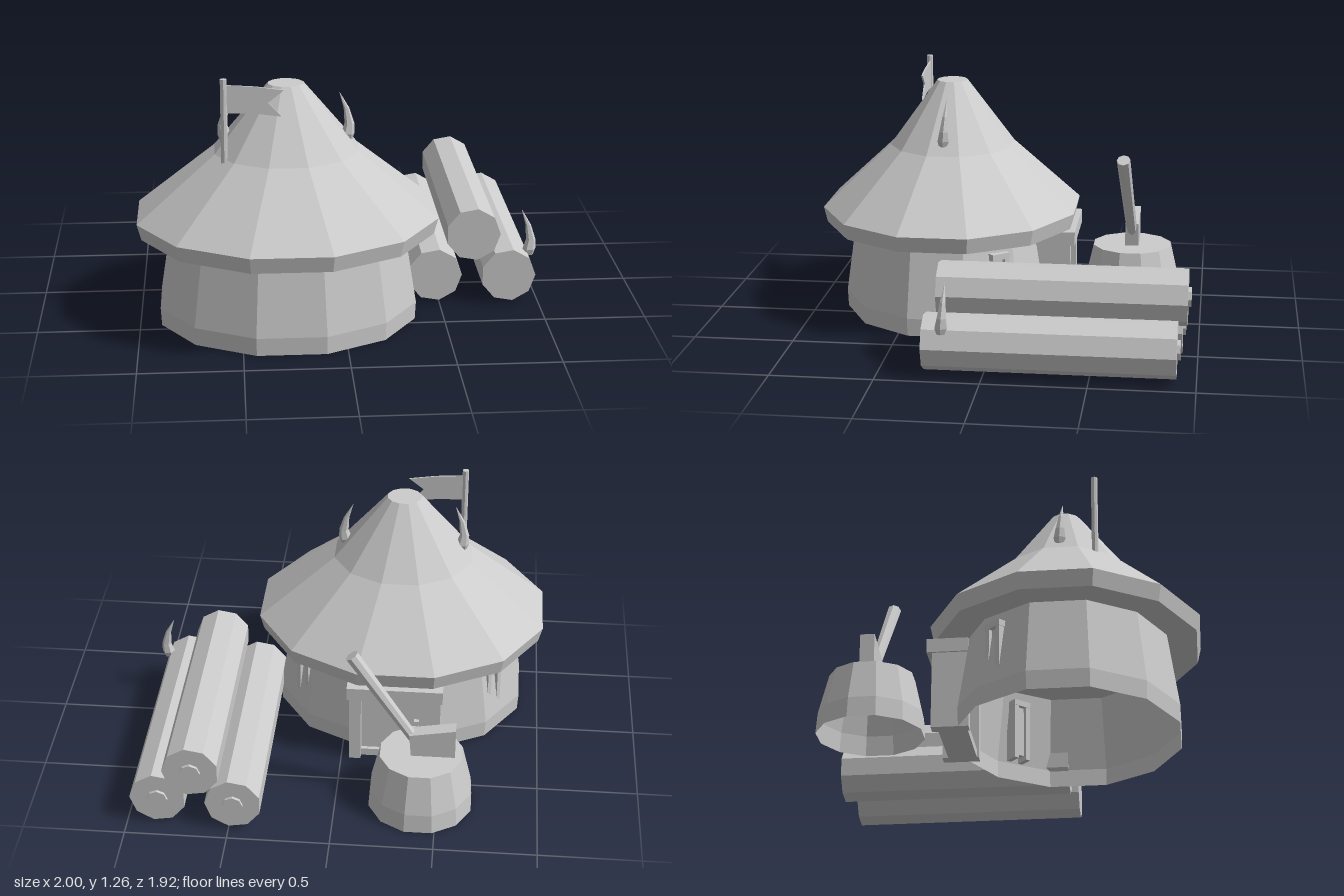
import * as THREE from 'three';

export function createModel() {
  const group = new THREE.Group();
  const grey = new THREE.MeshStandardMaterial({ color: 0xcccccc, flatShading: true, side: THREE.DoubleSide });
  grey.name = 'light grey';

  const add = (name, geometry, x = 0, y = 0, z = 0, parent = group) => {
    const mesh = new THREE.Mesh(geometry, grey);
    mesh.name = name;
    mesh.position.set(x, y, z);
    parent.add(mesh);
    return mesh;
  };
  const box = (name, w, h, d, x, y, z, parent) => add(name, new THREE.BoxGeometry(w, h, d), x, y, z, parent);
  // Twelve-sided turned shape with a flat side facing each axis
  const turned = (profile, depthScale) => new THREE.LatheGeometry(
    profile.map(([r, y]) => new THREE.Vector2(r, y)), 12, Math.PI / 12).scale(1, 1, depthScale);
  // Straight round bar between two points
  const bar = (name, a, b, r0, r1, sides) => {
    const from = new THREE.Vector3(...a), dir = new THREE.Vector3(...b).sub(from);
    const mesh = add(name, new THREE.CylinderGeometry(r1, r0, dir.length(), sides));
    mesh.position.copy(from).addScaledVector(dir, 0.5);
    mesh.quaternion.setFromUnitVectors(new THREE.Vector3(0, 1, 0), dir.normalize());
    return mesh;
  };

  // Hut, slightly shallower than wide; the wall is open underneath
  const hx = -0.27, hz = 0.305;
  add('wall', turned([[0.647, 0], [0.652, 0.09], [0.59, 0.47]], 0.856), hx, 0, hz);
  add('roof', turned([[0, 0.46], [0.735, 0.46], [0.756, 0.54], [0.362, 0.86], [0.088, 1.19], [0, 1.19]], 0.89), hx, 0, hz);

  // Doorway at the back
  const door = new THREE.Group();
  door.name = 'doorway';
  door.position.set(hx, 0, 0);
  group.add(door);
  box('lintel', 0.48, 0.07, 0.2, 0, 0.42, -0.255, door);
  for (const s of [-1, 1]) box('doorPost', 0.06, 0.4, 0.18, s * 0.2, 0.2, -0.24, door);
  box('threshold', 0.4, 0.04, 0.14, 0, 0.02, -0.23, door);
  box('doorPanel', 0.36, 0.38, 0.03, 0, 0.2, -0.265, door);
  box('doorHandle', 0.025, 0.06, 0.025, -0.11, 0.2, -0.29, door);

  // Narrow window frames on the rear sides of the wall
  for (const s of [-1, 1]) {
    const frame = new THREE.Group();
    frame.name = 'windowFrame';
    frame.position.set(hx + s * 0.47, 0.24, 0.015);
    frame.rotation.set(0, s * 2.3, 0);
    for (const t of [-1, 1]) box('windowJamb', 0.025, 0.3, 0.07, t * 0.035, 0, 0, frame);
    box('windowPane', 0.06, 0.27, 0.03, 0, 0.01, 0, frame);
    box('windowHead', 0.1, 0.03, 0.075, 0, 0.15, 0, frame);
    group.add(frame);
  }

  // Flag on a pole through the roof
  bar('flagPole', [-0.575, 0.18, 0.465], [-0.57, 1.26, 0.47], 0.016, 0.016, 8);
  const flag = new THREE.Shape([[-0.57, 1.09], [-0.44, 1.09], [-0.295, 1.07], [-0.36, 1.14], [-0.285, 1.2],
    [-0.42, 1.22], [-0.57, 1.23]].map(p => new THREE.Vector2(...p)));
  add('flag', new THREE.ExtrudeGeometry(flag, { depth: 0.008, bevelEnabled: false }), 0, 0, 0.463);

  // Curved horn made of six-sided rings
  const hornGeometry = () => {
    const rings = [[0, 0, 0.022], [0, 0.03, 0.033], [0.008, 0.08, 0.024], [-0.006, 0.155, 0.014], [-0.04, 0.235, 0.001]];
    const pos = [], index = [], n = 6;
    rings.forEach(([x, y, r], i) => {
      for (let j = 0; j < n; j++) {
        const a = j / n * Math.PI * 2;
        pos.push(x + r * Math.cos(a), y, -0.015 * y / 0.235 + r * Math.sin(a));
        if (i) {
          const k = (i - 1) * n, m = (j + 1) % n;
          index.push(k + j, k + n + j, k + m, k + m, k + n + j, k + n + m);
        }
      }
    });
    for (let j = 1; j < n - 1; j++) index.push(0, j, j + 1);
    const g = new THREE.BufferGeometry();
    g.setAttribute('position', new THREE.Float32BufferAttribute(pos, 3));
    g.setIndex(index);
    g.computeVertexNormals();
    return g;
  };
  add('roofHornLeft', hornGeometry(), 0.03, 0.9, 0.31);
  add('roofHornRight', hornGeometry().rotateY(Math.PI), -0.57, 0.9, 0.295);
  add('logHorn', hornGeometry(), 0.962, 0.225, 0.185);

  // Pile of three nine-sided logs with a raised core on the rear end
  for (const [x, y, front, back] of [[0.475, 0.15, 0.255, -0.925], [0.67, 0.355, 0.235, -0.95], [0.845, 0.15, 0.282, -0.907]]) {
    const turn = g => g.rotateY(Math.PI / 2).rotateX(Math.PI / 2);
    add('log', turn(new THREE.CylinderGeometry(0.138, 0.138, front - back, 9)), x, y, (front + back) / 2);
    add('logCore', turn(new THREE.CylinderGeometry(0.05, 0.05, 0.03, 8)), x, y, back);
  }

  // Chopping stump, open underneath, with an axe stuck in it
  add('stump', turned([[0.262, 0], [0.255, 0.1], [0.208, 0.3], [0, 0.3]], 1), -0.42, 0, -0.63);
  const head = new THREE.Shape([[-0.585, 0.28], [-0.37, 0.3], [-0.36, 0.42], [-0.585, 0.46]].map(p => new THREE.Vector2(...p)));
  add('axeHead', new THREE.ExtrudeGeometry(head, { depth: 0.07, bevelEnabled: false }), 0, 0, -0.665);
  bar('axeHandle', [-0.41, 0.34, -0.632], [-0.075, 0.83, -0.595], 0.027, 0.035, 8);

  return group;
}
